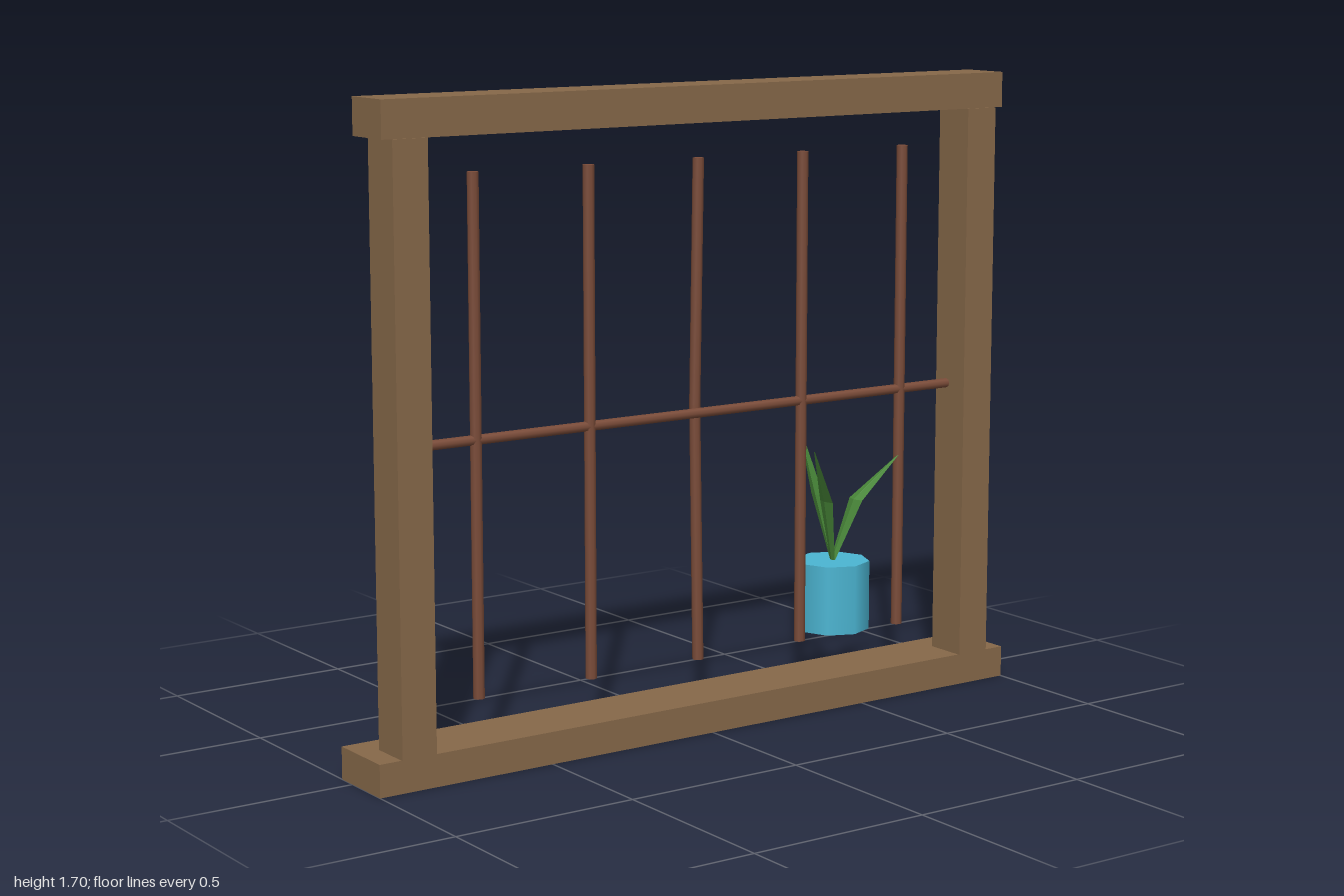
import * as THREE from 'three';

const paint = (name, color, side = THREE.FrontSide) => {
  const m = new THREE.MeshStandardMaterial({ color, side });
  m.name = name;
  return m;
};

export function createModel() {
  const wood = paint('brown wood', 0x866849);
  const rust = paint('rusty iron', 0x7a4b38);
  const glaze = paint('blue glaze', 0x4bb5d2);
  const green = paint('leaf green', 0x4a8a3a, THREE.DoubleSide);

  const model = new THREE.Group();
  model.name = 'barredWindow';
  const add = (name, geometry, material, x, y, z) => {
    const mesh = new THREE.Mesh(geometry, material);
    mesh.name = name;
    mesh.position.set(x, y, z);
    model.add(mesh);
    return mesh;
  };

  // Timber frame: sill, lintel and two posts
  add('sill', new THREE.BoxGeometry(2, 0.085, 0.193), wood, 0, 0.0425, 0.0435);
  add('lintel', new THREE.BoxGeometry(1.93, 0.095, 0.14), wood, 0, 1.6525, 0.07);
  for (const [side, name] of [[1, 'leftPost'], [-1, 'rightPost']]) {
    add(name, new THREE.BoxGeometry(0.097, 1.52, 0.118), wood, side * 0.89, 0.845, 0.086);
  }

  // Iron bars; the middle one is bent sideways and backwards at half height
  const barZ = 0.07, barY = 0.8475, barR = 0.015;
  for (let i = -2; i <= 2; i++) {
    const bar = new THREE.CylinderGeometry(barR, barR, 1.325, 8, 2);
    if (i === 0) {
      const p = bar.attributes.position;
      for (let k = 0; k < p.count; k++) {
        if (Math.abs(p.getY(k)) < 0.01) p.setXYZ(k, p.getX(k) + 0.06, 0, p.getZ(k) - 0.1);
      }
    }
    add(i === 0 ? 'bentBar' : 'bar', bar, rust, i * 0.337, barY, barZ);
  }
  add('crossBar', new THREE.CylinderGeometry(0.013, 0.013, 1.69, 8), rust, 0, 0.845, barZ)
    .rotation.z = Math.PI / 2;

  // Eight-sided flower pot
  const potX = 0.503;
  add('pot', new THREE.CylinderGeometry(0.102, 0.102, 0.19, 8), glaze, potX, 0.28, 0);

  // Leaf: diamond cross-sections swept from root through the bend to the tip
  const leafGeometry = (bend, tip) => {
    const rings = [[[0, 0, 0], 0.004, 0.01], [bend, 0.008, 0.028], [tip, 0.001, 0.002]];
    const corners = [[1, 0], [0, 1], [-1, 0], [0, -1]];
    const pos = [], index = [];
    for (const [[x, y, z], t, w] of rings) {
      for (const [a, b] of corners) pos.push(x + a * t, y, z + b * w);
    }
    for (let r = 0; r < 2; r++) {
      for (let c = 0; c < 4; c++) {
        const a = r * 4 + c, b = r * 4 + (c + 1) % 4;
        index.push(a, a + 4, b, b, a + 4, b + 4);
      }
    }
    const g = new THREE.BufferGeometry();
    g.setAttribute('position', new THREE.Float32BufferAttribute(pos, 3));
    g.setIndex(index);
    const flat = g.toNonIndexed();
    flat.computeVertexNormals();
    return flat;
  };
  const leaves = [
    [[-0.046, 0.175, 0.03], [-0.133, 0.33, 0.088]],
    [[-0.005, 0.175, -0.063], [-0.013, 0.362, -0.14]],
    [[0.056, 0.17, 0.03], [0.163, 0.29, 0.08]],
  ];
  for (const [bend, tip] of leaves) add('leaf', leafGeometry(bend, tip), green, potX, 0.373, 0);

  return model;
}
